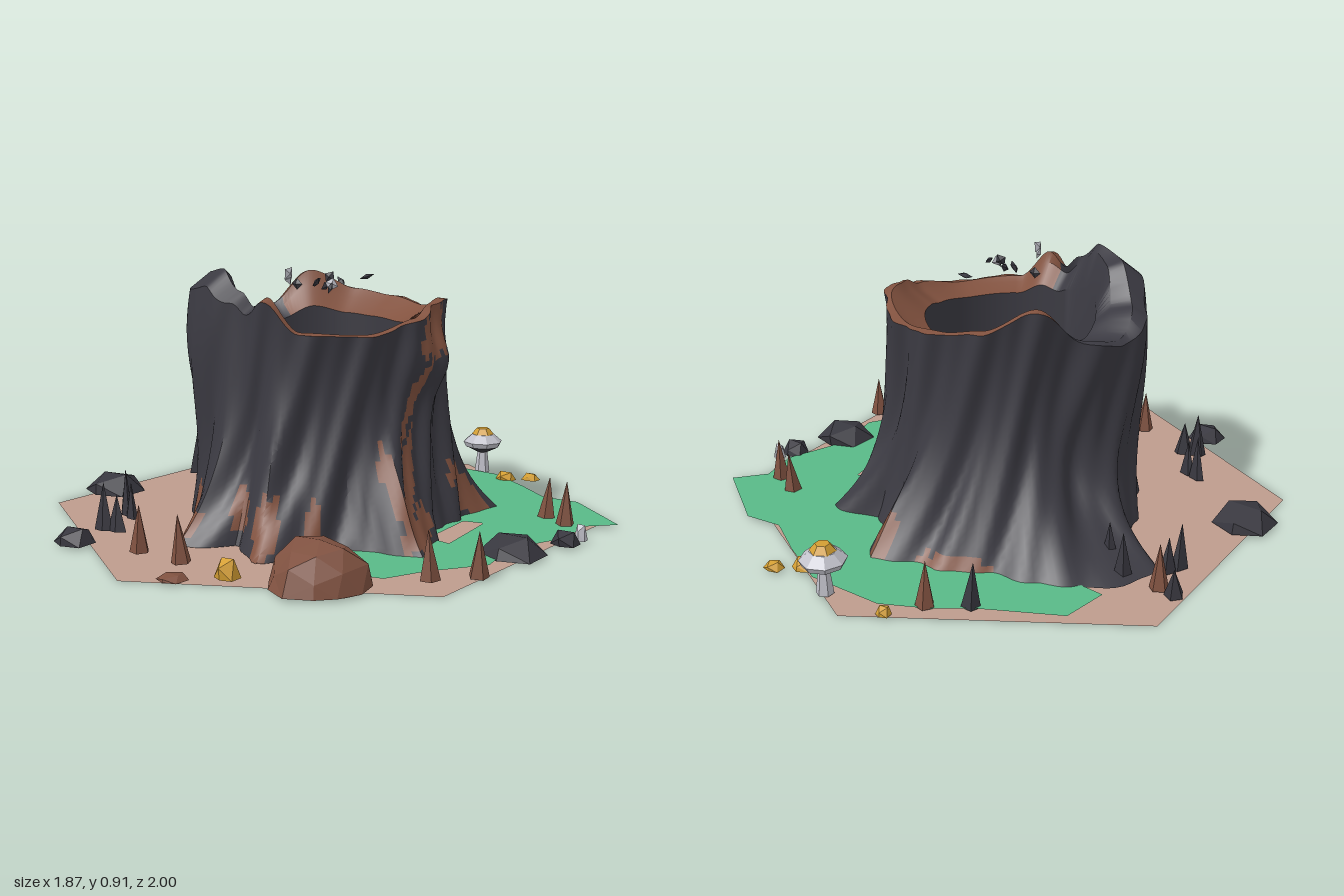
import * as THREE from 'three';
import { toCreasedNormals } from 'three/addons/utils/BufferGeometryUtils.js';

const paint = (name, color, extra = {}) => {
  const m = new THREE.MeshStandardMaterial({ color, ...extra });
  m.name = name;
  return m;
};

// Periodic lookup in a list of [degrees, value], smooth or with sharp corners
function around(table, deg, sharp = false) {
  const d = ((deg % 360) + 360) % 360;
  let i = table.length - 1;
  while (d < table[i][0]) i--;
  const [a, va] = table[i];
  const [b, vb] = table[i + 1] || [360, table[0][1]];
  const k = (d - a) / (b - a);
  return va + (vb - va) * (sharp ? k : k * k * (3 - 2 * k));
}

// Angles run from +x towards +z
const RIM = [[0, .75], [30, .71], [62, .72], [80, .83], [92, .79], [102, .84], [118, .91], [140, .89],
  [160, .77], [180, .70], [200, .73], [225, .86], [250, .79], [270, .77], [295, .75], [330, .80], [345, .79]];
const ROOTS = [[0, .49], [12, .57], [22, .69], [32, .54], [40, .5], [60, .55], [71, .67], [85, .5], [100, .66],
  [115, .49], [140, .47], [165, .47], [183, .52], [196, .74], [213, .77], [228, .67], [248, .61], [262, .62],
  [280, .69], [290, .55], [302, .53], [316, .65], [327, .54], [340, .47]];
const CROWN = [[0, .42], [40, .42], [70, .42], [92, .39], [115, .43], [140, .46], [165, .48], [190, .46],
  [210, .41], [225, .42], [270, .44], [295, .43], [320, .44], [340, .42]];
// Bare wood on the bark: degrees, height, half width, half height, slant (degrees per unit up)
const PATCHES = [[15, .18, 5, .2, -60], [-12, .7, 11, .1, -50], [4, .47, 4, .15, -70], [24, .21, 3, .13, 0],
  [326, .1, 7, .12, 40], [12, .06, 7, .07, -40], [71, .08, 5, .1, 0], [86, .12, 4, .07, 30], [102, .05, 4, .06, 0],
  [127, .07, 4, .07, 0], [55, .1, 3, .08, 0], [280, .06, 4, .08, 0], [255, .02, 14, .025, 0]];

const bell = (x, c, w) => Math.exp(-(((x - c) / w) ** 2));

function trunkGeometry() {
  const N = 180, ROWS = 32, FLOOR = .35;
  const ringAt = (deg, j) => {
    const a = deg * Math.PI / 180, h = around(RIM, deg), top = around(CROWN, deg);
    const lobe = bell(deg, 130, 36), lip = .68 + (h - .7) * .35, mix = .6 + .3 * lobe;
    if (j > ROWS) {
      return [[top - .025 - .045 * lobe, h + .004], [.37 - .03 * lobe, h * mix + lip * (1 - mix)], [.3, lip],
        [.3, FLOOR], [0, FLOOR]][j - ROWS - 1];
    }
    const t = j / ROWS, y = .012 + (h - .06 * lobe - .012) * t;
    const groove = (1 - .65 * lobe) * (.016 * Math.sin(13 * a + 8 * t) + .008 * Math.sin(28 * a + 12 * t));
    const waist = -.02 * Math.sin(Math.PI * t) * (1 - lobe) - .022 * lobe * Math.sin(6 * t);
    const knot = .055 * bell(y, .6, .1) * bell(deg > 180 ? deg - 360 : deg, -12, 18);
    const flare = (1 - t) ** (2.7 + 3.5 * bell(deg, 203, 18));
    return [top + (around(ROOTS, deg, true) - top) * flare + groove * (1 - t * .5) + waist + knot, y];
  };
  const pos = [], bark = [], wood = [], last = ROWS + 5;
  for (let j = 0; j <= last; j++) {
    for (let i = 0; i < N; i++) {
      const deg = i * 360 / N, a = deg * Math.PI / 180, [r, y] = ringAt(deg, j);
      pos.push(r * Math.cos(a), y, r * Math.sin(a));
    }
  }
  for (let j = 0; j < last; j++) {
    for (let i = 0; i < N; i++) {
      const k = (i + 1) % N, deg = (i + .5) * 360 / N;
      const p = j * N + i, q = j * N + k, y = pos[p * 3 + 1];
      const onRim = j >= ROWS && j < ROWS + 3 && (deg < 88 || deg > 208);
      const onPatch = j < ROWS && PATCHES.some(([c, cy, w, hh, s]) => {
        const off = ((deg - c - s * (y - cy) + 540) % 360) - 180;
        const ragged = 1 + .35 * Math.sin(deg * 1.3 + y * 40);
        return (off / w) ** 2 + ((y - cy) / hh) ** 2 < ragged;
      });
      const list = onRim || onPatch ? wood : bark;
      list.push(p, p + N, q);
      if (j < last - 1) list.push(q, p + N, q + N);
    }
  }
  const g = new THREE.BufferGeometry();
  g.setAttribute('position', new THREE.Float32BufferAttribute(pos, 3));
  g.setIndex([...bark, ...wood]);
  g.addGroup(0, bark.length, 0);
  g.addGroup(bark.length, wood.length, 1);
  return toCreasedNormals(g, .6);
}

export function createModel() {
  const model = new THREE.Group();
  const flat = { flatShading: true };
  const sheet = { side: THREE.DoubleSide };
  const soil = paint('soil', 0xbd9b8d, sheet);
  const moss = paint('moss', 0x59b987, sheet);
  const bark = paint('bark', 0x3b3a42);
  const wood = paint('wood', 0x82523f);
  const stone = paint('dark stone', 0x38373f, flat);
  const clay = paint('clay', 0x7f5140, flat);
  const gold = paint('gold', 0xd39e33, flat);
  const pale = paint('pale grey', 0xc0c0c9, flat);

  const add = (name, geo, mat, x = 0, y = 0, z = 0, parent = model) => {
    const m = new THREE.Mesh(geo, mat);
    m.name = name;
    m.position.set(x, y, z);
    parent.add(m);
    return m;
  };

  // Hexagonal ground sheet
  const ground = new THREE.CircleGeometry(1, 6, Math.PI / 2).rotateX(-Math.PI / 2);
  add('ground', ground, soil, -.008, .006, 0);

  // Moss sheet with a bare spot
  const outline = [[-.65, -.45], [-.62, -.62], [-.36, -.74], [-.24, -.82], [-.08, -.89], [.2, -.88], [.38, -.78],
    [.53, -.68], [.67, -.69], [.93, -.5], [.84, -.4], [.87, -.25], [.78, -.02], [.82, .18], [.7, .36], [.64, .5],
    [.5, .54], [.3, .55], [.2, .3], [.2, -.3], [-.2, -.35], [-.5, -.43]];
  const toV = ([x, z]) => new THREE.Vector2(x, -z);
  const mossShape = new THREE.Shape(outline.map(toV));
  mossShape.holes.push(new THREE.Path([[.48, -.2], [.55, -.22], [.59, .06], [.5, .05]].map(toV)));
  add('moss', new THREE.ShapeGeometry(mossShape).rotateX(-Math.PI / 2), moss, 0, .018, 0);

  // Hollow stump with flared roots
  add('stump', trunkGeometry(), [bark, wood]);

  // Rocks: squashed faceted balls with a flat bottom
  const rock = (name, mat, x, z, r, h, detail = 0) => {
    const g = new THREE.IcosahedronGeometry(1, detail);
    const p = g.attributes.position;
    for (let i = 0; i < p.count; i++) {
      const vx = p.getX(i), vy = p.getY(i), vz = p.getZ(i);
      const k = 1 + .08 * Math.sin(vx * 7 + x * 30 + vz * 5 + vy * 3);
      p.setXYZ(i, vx * k * r, Math.max(0, vy * k) * h, vz * k * r);
    }
    g.computeVertexNormals();
    return add(name, g, mat, x, .014, z);
  };
  [[-.83, .25, .12, .08], [.81, .02, .11, .08], [.89, -.19, .055, .05], [-.41, .82, .075, .06]]
    .forEach(([x, z, r, h]) => rock('darkRock', stone, x, z, r, h));
  rock('largeRock', clay, .51, .65, .165, .145, 1);
  rock('flatRock', clay, .13, .9, .05, .02);
  [[.25, .78, .047, .07], [.27, -.84, .045, .035], [.35, -.9, .035, .03], [-.13, -.92, .028, .03]]
    .forEach(([x, z, r, h]) => rock('goldNugget', gold, x, z, r, h));
  rock('palePebble', pale, .91, -.26, .025, .06);

  // Pointed shoots, slightly tilted
  [[-.33, -.73, .16, 0], [-.21, -.81, .16, 1], [-.84, -.32, .1, 0], [-.78, -.31, .16, 1], [.68, -.44, .15, 1],
    [.78, -.39, .16, 1], [.85, .29, .15, 1], [.75, .41, .16, 1], [-.16, .76, .16, 1], [.03, .76, .16, 1],
    [-.64, -.3, .16, 0], [-.56, -.24, .15, 0]]
    .forEach(([x, z, h, brown], i) => {
      const g = new THREE.ConeGeometry(.034, h, 5).translate(0, h / 2, 0);
      const s = add('shoot', g, brown ? clay : stone, x, .014, z);
      s.rotation.set(.06 * Math.sin(i * 2.3), i, .07 * Math.cos(i * 1.7));
    });

  // Forked flat blades: x, z, turn
  [[-.51, .48, -.38], [-.42, .65, .34], [-.77, -.18, 1.1]].forEach(([x, z, turn]) => {
    const blade = new THREE.Group();
    blade.name = 'forkedBlade';
    blade.position.set(x, .014, z);
    blade.rotation.y = turn;
    model.add(blade);
    [[-.024, .17], [.026, .13]].forEach(([dx, h]) => {
      const g = new THREE.ConeGeometry(.038, h, 5).translate(0, h / 2, 0);
      add('bladeTip', g, stone, dx, 0, 0, blade).scale.z = .5;
    });
  });

  // Mushroom with a pale cap and golden crown
  const mushroom = new THREE.Group();
  mushroom.name = 'mushroom';
  mushroom.position.set(.11, .01, -.92);
  model.add(mushroom);
  add('stem', new THREE.CylinderGeometry(.018, .03, .1, 6), pale, 0, .05, 0, mushroom);
  add('gills', new THREE.CylinderGeometry(.07, .02, .025, 8), stone, 0, .095, 0, mushroom);
  add('capEdge', new THREE.CylinderGeometry(.08, .07, .02, 8), pale, 0, .117, 0, mushroom);
  add('capTop', new THREE.CylinderGeometry(.045, .08, .03, 8), pale, 0, .142, 0, mushroom);
  add('capCrown', new THREE.CylinderGeometry(.025, .045, .025, 6), gold, 0, .169, 0, mushroom);

  // Small shards drifting above the hollow
  [[-.05, .85, .08, 0], [.01, .88, .2, 1], [.03, .86, .07, 0], [.08, .88, .06, 0], [.07, .85, .07, 0],
    [.13, .87, .06, 0], [.13, .85, .12, 0], [.02, .9, .21, 1], [.1, .87, -.13, 0], [.12, .86, .1, 1]]
    .forEach(([x, y, z, light], i) => {
      const s = add('shard', new THREE.OctahedronGeometry(.026), light ? pale : stone, x, y, z);
      s.scale.set(.9, .8 + .3 * Math.sin(i), .35);
      s.rotation.set(i, i * 2, i * .7);
    });

  return model;
}
